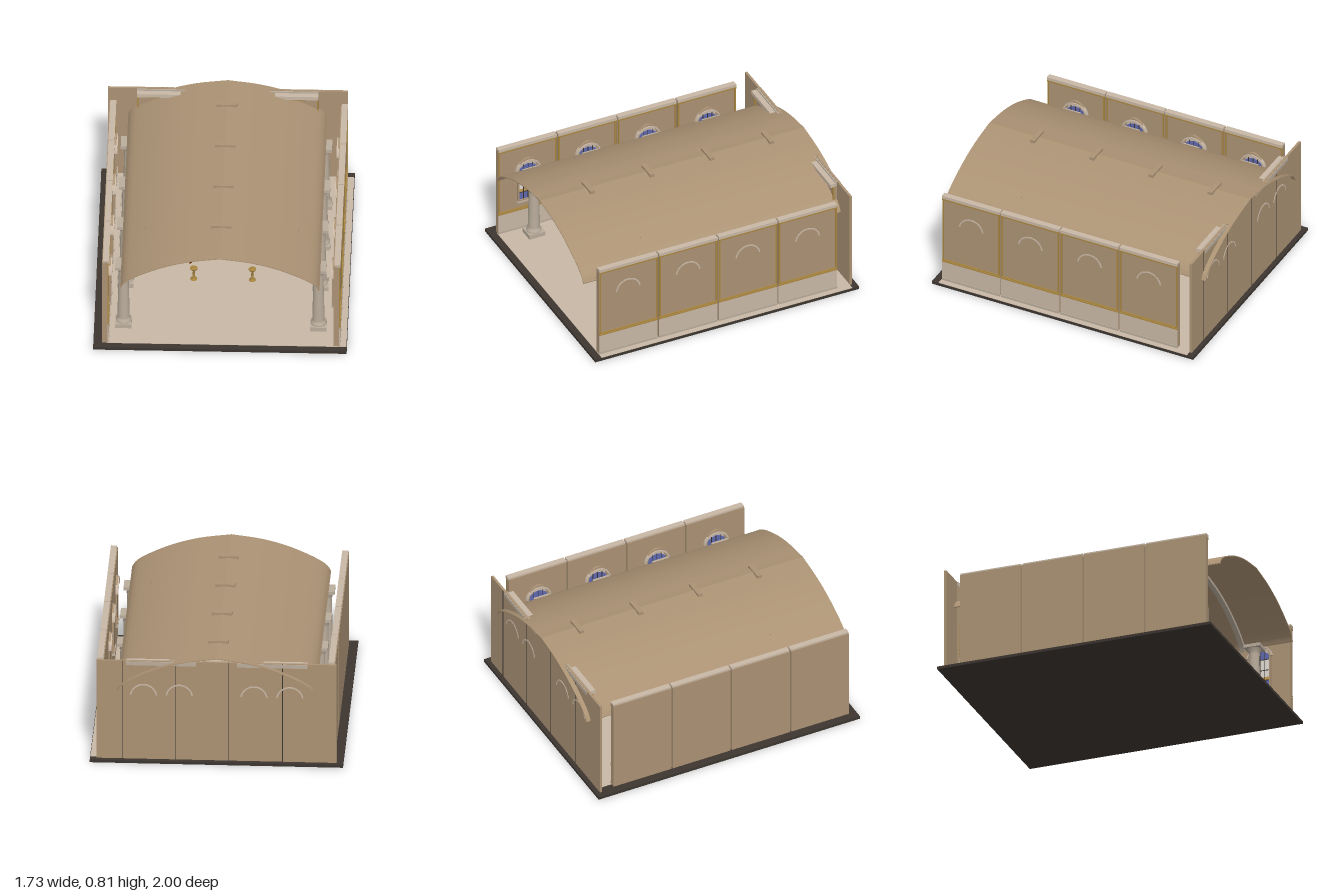
import * as THREE from 'three';

const mat = (name, color) => Object.assign(new THREE.MeshStandardMaterial({ color }), { name });
const M = {
  stone: mat('tan stone', 0xab9274),
  cream: mat('cream marble', 0xc8b7a5),
  pale: mat('pale column stone', 0xb9ac9b),
  dark: mat('dark slab', 0x3c3530),
  gold: mat('gold trim', 0xa8853f),
  red: mat('red wood', 0x6b2618),
  blue: mat('blue glass', 0x5f68ae),
  amber: mat('amber glass', 0xc39a4e),
  white: mat('light glass', 0xe0dad2),
};

function mesh(parent, name, geo, m, x = 0, y = 0, z = 0) {
  const o = new THREE.Mesh(geo, m);
  o.name = name;
  o.position.set(x, y, z);
  parent.add(o);
  return o;
}
// box given by its min and max corners
function box(parent, name, m, x0, x1, y0, y1, z0, z1) {
  return mesh(parent, name, new THREE.BoxGeometry(x1 - x0, y1 - y0, z1 - z0), m, (x0 + x1) / 2, (y0 + y1) / 2, (z0 + z1) / 2);
}
function group(parent, name, x = 0, y = 0, z = 0) {
  const g = new THREE.Group();
  g.name = name;
  g.position.set(x, y, z);
  parent.add(g);
  return g;
}
const lathe = (pts, n = 16) => new THREE.LatheGeometry(pts.map(p => new THREE.Vector2(...p)), n);

// half profile of the vault, mirrored to the full arch
function vaultPoints(drop) {
  const half = [[0.68, 0.54], [0.655, 0.58], [0.6, 0.622], [0.41, 0.712], [0.22, 0.768], [0, 0.8]];
  const c = new THREE.CatmullRomCurve3(half.map(p => new THREE.Vector3(p[0], p[1], 0)));
  const right = c.getPoints(20).map(p => new THREE.Vector2(p.x * (1 - drop * 0.8), p.y - drop));
  const left = right.slice(0, -1).reverse().map(p => new THREE.Vector2(-p.x, p.y));
  return [...right, ...left];
}
function vaultBand(top, bottom, depth) {
  const s = new THREE.Shape([...vaultPoints(top), ...vaultPoints(bottom).reverse()]);
  return new THREE.ExtrudeGeometry(s, { depth, bevelEnabled: false }).translate(0, 0, -depth / 2);
}

// pointed window outline between two heights
function archShape(w, y0, spring, top) {
  const s = new THREE.Shape();
  s.moveTo(-w, y0);
  s.lineTo(w, y0);
  s.lineTo(w, spring);
  s.quadraticCurveTo(w * 0.9, top - 0.015, 0, top);
  s.quadraticCurveTo(-w * 0.9, top - 0.015, -w, spring);
  s.lineTo(-w, y0);
  return s;
}
const extrude = (s, depth) => new THREE.ExtrudeGeometry(s, { depth, bevelEnabled: false, curveSegments: 10 });

function windowUnit(parent, x, z, turn) {
  const g = group(parent, 'window', x, 0, z);
  g.rotation.y = turn;
  const frame = archShape(0.08, 0.255, 0.51, 0.6);
  frame.holes.push(archShape(0.068, 0.267, 0.505, 0.585));
  mesh(g, 'windowFrame', extrude(frame, 0.014), M.stone);
  // glass bands, bottom to top
  box(g, 'lowerGlass', M.blue, -0.068, 0.068, 0.267, 0.325, 0.002, 0.006);
  box(g, 'amberGlass', M.amber, -0.068, 0.068, 0.325, 0.35, 0.002, 0.006);
  box(g, 'middleGlass', M.white, -0.068, 0.068, 0.35, 0.48, 0.002, 0.006);
  mesh(g, 'upperGlass', extrude(archShape(0.068, 0.48, 0.505, 0.55), 0.005), M.blue, 0, 0, 0.002);
  mesh(g, 'headPanel', extrude(archShape(0.068, 0.5, 0.51, 0.585), 0.003), M.cream, 0, 0, 0.001);
  for (const bx of [-0.034, 0, 0.034]) box(g, 'mullion', M.dark, bx - 0.002, bx + 0.002, 0.267, 0.55, 0.006, 0.01);
  for (const by of [0.325, 0.4, 0.48]) box(g, 'glazingBar', M.dark, -0.068, 0.068, by - 0.002, by + 0.002, 0.006, 0.01);
  // curved hood set through the wall
  const hood = new THREE.Shape();
  hood.absarc(0, 0.49, 0.094, 0.12, Math.PI - 0.12, false);
  hood.absarc(0, 0.49, 0.084, Math.PI - 0.12, 0.12, true);
  mesh(g, 'windowHood', extrude(hood, 0.062), M.cream, 0, 0, -0.04);
  box(g, 'windowSill', M.pale, -0.085, 0.085, 0.245, 0.257, 0, 0.02);
}

// one wall bay whose decorated face looks along +x
function wallBay(parent, x, z) {
  const g = group(parent, 'wallBay', x, 0, z), h = 0.221;
  box(g, 'wallPanel', M.stone, -0.025, 0.012, 0.02, 0.71, -h, h);
  box(g, 'wainscot', M.cream, 0.01, 0.018, 0.02, 0.175, -h, h);
  box(g, 'skirting', M.pale, 0.01, 0.022, 0.02, 0.04, -h, h);
  box(g, 'cornice', M.cream, -0.02, 0.022, 0.7, 0.722, -h, h);
  for (const [a, b] of [[0.175, 0.183], [0.19, 0.196], [0.688, 0.698]]) box(g, 'goldRail', M.gold, 0.01, 0.021, a, b, -h, h);
  for (const s of [-1, 1]) box(g, 'goldStile', M.gold, 0.01, 0.018, 0.19, 0.69, s * 0.214 - 0.005, s * 0.214 + 0.005);
}

function column(parent, x, z) {
  const g = group(parent, 'column', x, 0, z);
  box(g, 'plinth', M.pale, -0.056, 0.056, 0.02, 0.055, -0.06, 0.06);
  mesh(g, 'shaft', lathe([[0.052, 0.055], [0.054, 0.065], [0.044, 0.078], [0.042, 0.09], [0.034, 0.47], [0.04, 0.478], [0.036, 0.488], [0.05, 0.518]]), M.pale);
  box(g, 'abacus', M.pale, -0.056, 0.056, 0.517, 0.54, -0.06, 0.06);
}

function sofa(parent, x, z) {
  const g = group(parent, 'sofa', x, 0, z);
  box(g, 'sofaBase', M.red, -0.12, 0.12, 0.04, 0.072, -0.045, 0.05);
  box(g, 'sofaBack', M.red, -0.12, 0.12, 0.07, 0.145, -0.05, -0.03);
  box(g, 'goldTopRail', M.gold, -0.122, 0.122, 0.145, 0.151, -0.052, -0.028);
  box(g, 'goldFrontRail', M.gold, -0.12, 0.12, 0.05, 0.055, 0.05, 0.053);
  for (let i = 0; i < 4; i++) {
    const cx = -0.081 + i * 0.054;
    box(g, 'seatCushion', M.cream, cx - 0.025, cx + 0.025, 0.072, 0.088, -0.03, 0.047);
    const pad = mesh(g, 'backPad', new THREE.SphereGeometry(0.025, 12, 8), M.cream, cx, 0.115, -0.028);
    pad.scale.set(1, 0.9, 0.35);
  }
  for (const s of [-1, 1]) {
    box(g, 'sofaArm', M.red, s * 0.118 - 0.01, s * 0.118 + 0.01, 0.035, 0.112, -0.05, 0.05);
    for (const lz of [-0.04, 0.04]) mesh(g, 'sofaLeg', new THREE.CylinderGeometry(0.008, 0.005, 0.025, 8), M.gold, s * 0.115, 0.031, lz);
  }
}

function armchair(parent, x, z) {
  const g = group(parent, 'armchair', x, 0, z);
  box(g, 'chairSeat', M.cream, -0.06, 0.06, 0.09, 0.112, -0.05, 0.05);
  box(g, 'chairRail', M.gold, -0.063, 0.063, 0.084, 0.092, -0.053, 0.053);
  box(g, 'chairBack', M.cream, -0.055, 0.055, 0.112, 0.22, -0.052, -0.036);
  box(g, 'backTrim', M.gold, -0.058, 0.058, 0.22, 0.226, -0.054, -0.034);
  for (const sx of [-1, 1]) {
    box(g, 'armRest', M.gold, sx * 0.058 - 0.005, sx * 0.058 + 0.005, 0.145, 0.153, -0.05, 0.03);
    for (const sz of [-1, 1]) mesh(g, 'chairLeg', new THREE.CylinderGeometry(0.007, 0.004, 0.066, 8), M.gold, sx * 0.053, 0.053, sz * 0.043);
  }
}

export function createModel() {
  const model = new THREE.Group();
  model.name = 'vaultedHall';

  // floor
  box(model, 'floorSlab', M.dark, -0.865, 0.865, 0, 0.02, -1, 1);
  box(model, 'marbleFloor', M.cream, -0.775, 0.862, 0.019, 0.023, -0.95, 0.95);

  // vault and its ribs
  mesh(model, 'vault', vaultBand(0, 0.006, 2), M.stone);
  for (let i = 0; i < 4; i++) {
    const z = 0.635 - i * 0.453;
    mesh(model, 'vaultRib', vaultBand(0.006, 0.028, 0.034), M.pale, 0, 0, z);
    box(model, 'ribKeystone', M.stone, -0.07, 0.07, 0.775, 0.812, z - 0.017, z + 0.017);
  }

  // side walls, windows and columns
  for (let i = 0; i < 4; i++) {
    const z = 0.725 - i * 0.453;
    wallBay(model, -0.78, z);
    wallBay(model, 0.8, z);
    windowUnit(model, -0.763, z, Math.PI / 2);
    windowUnit(model, 0.775, z, -Math.PI / 2);
    for (const s of [-1, 1]) column(model, s * 0.665, z);
  }

  // back wall
  box(model, 'backWall', M.stone, -0.82, 0.82, 0.02, 0.755, -0.967, -0.95);
  for (const x of [-0.45, -0.08, 0.28, 0.64]) box(model, 'backSeam', M.dark, x - 0.002, x + 0.002, 0.02, 0.755, -0.969, -0.965);
  box(model, 'centreBay', M.stone, -0.1, 0.1, 0.02, 0.75, -0.955, -0.935);
  for (const s of [-1, 1]) {
    const g = group(model, 'backBays');
    const b = (name, m, x0, x1, ...r) => box(g, name, m, Math.min(s * x0, s * x1), Math.max(s * x0, s * x1), ...r);
    b('bayPanel', M.stone, 0.14, 0.62, 0.02, 0.72, -0.952, -0.93);
    b('bayWainscot', M.cream, 0.14, 0.62, 0.02, 0.175, -0.932, -0.922);
    b('bayCornice', M.pale, 0.14, 0.62, 0.725, 0.752, -0.972, -0.94);
    b('lowerCornice', M.cream, 0.14, 0.62, 0.715, 0.742, -0.94, -0.9);
    b('bayRail', M.gold, 0.14, 0.62, 0.175, 0.185, -0.935, -0.917);
    b('bayTopRail', M.gold, 0.14, 0.62, 0.7, 0.712, -0.935, -0.917);
    for (const x of [0.145, 0.375, 0.39, 0.615]) b('bayStile', M.gold, x - 0.005, x + 0.005, 0.185, 0.7, -0.935, -0.92);
    for (const x of [0.255, 0.5]) windowUnit(g, s * x, -0.93, 0);
  }

  // rose window
  const rose = group(model, 'roseWindow', 0, 0.525, -0.915);
  mesh(rose, 'outerRing', new THREE.TorusGeometry(0.133, 0.014, 10, 48), M.pale);
  mesh(rose, 'innerRing', new THREE.TorusGeometry(0.115, 0.006, 8, 48), M.cream);
  for (const [m, a] of [[M.blue, 0.35], [M.amber, Math.PI + 0.35]])
    mesh(rose, 'roseGlass', new THREE.RingGeometry(0.05, 0.118, 32, 1, a, Math.PI - 0.7), m, 0, 0, -0.008);
  mesh(rose, 'roseBacking', new THREE.CircleGeometry(0.125, 40), M.stone, 0, 0, -0.012);
  mesh(rose, 'hub', new THREE.SphereGeometry(0.016, 12, 8), M.pale);
  for (let i = 0; i < 6; i++) mesh(rose, 'spoke', new THREE.BoxGeometry(0.25, 0.007, 0.008), M.pale).rotation.z = i * Math.PI / 6;

  // portal of two slim columns joined by an arch, with a low altar
  const portal = group(model, 'portal', 0, 0, -0.87);
  for (const s of [-1, 1])
    mesh(portal, 'portalColumn', lathe([[0.03, 0.02], [0.03, 0.045], [0.016, 0.06], [0.014, 0.32], [0.024, 0.335], [0.016, 0.35], [0.026, 0.375], [0.024, 0.4], [0, 0.4]], 12), M.pale, s * 0.19);
  const path = new THREE.CatmullRomCurve3([[-0.19, 0.4], [-0.17, 0.45], [-0.1, 0.49], [0, 0.512], [0.1, 0.49], [0.17, 0.45], [0.19, 0.4]].map(p => new THREE.Vector3(p[0], p[1], 0)));
  mesh(portal, 'portalArch', new THREE.TubeGeometry(path, 30, 0.008, 6), M.pale);
  box(portal, 'altar', M.cream, -0.05, 0.05, 0.02, 0.075, -0.04, 0.04);
  box(portal, 'altarTop', M.pale, -0.055, 0.055, 0.075, 0.083, -0.045, 0.045);

  // furniture and lamps, mirrored
  for (const s of [-1, 1]) {
    sofa(model, s * 0.345, 0.01);
    armchair(model, s * 0.54, 0.04);
    mesh(model, 'goldPedestal', lathe([[0.025, 0.022], [0.022, 0.03], [0.006, 0.04], [0.01, 0.065], [0.006, 0.09], [0.026, 0.112], [0.026, 0.118], [0, 0.118]], 12), M.gold, s * 0.2, 0, 0.22);
    mesh(model, 'lantern', lathe([[0, 0.28], [0.014, 0.29], [0.02, 0.33], [0.022, 0.36], [0.012, 0.372], [0, 0.39]], 12), M.gold, s * 0.52, 0, 0.49);
    mesh(model, 'lanternRod', new THREE.CylinderGeometry(0.002, 0.002, 0.28, 6), M.dark, s * 0.52, 0.525, 0.49);
  }
  return model;
}
